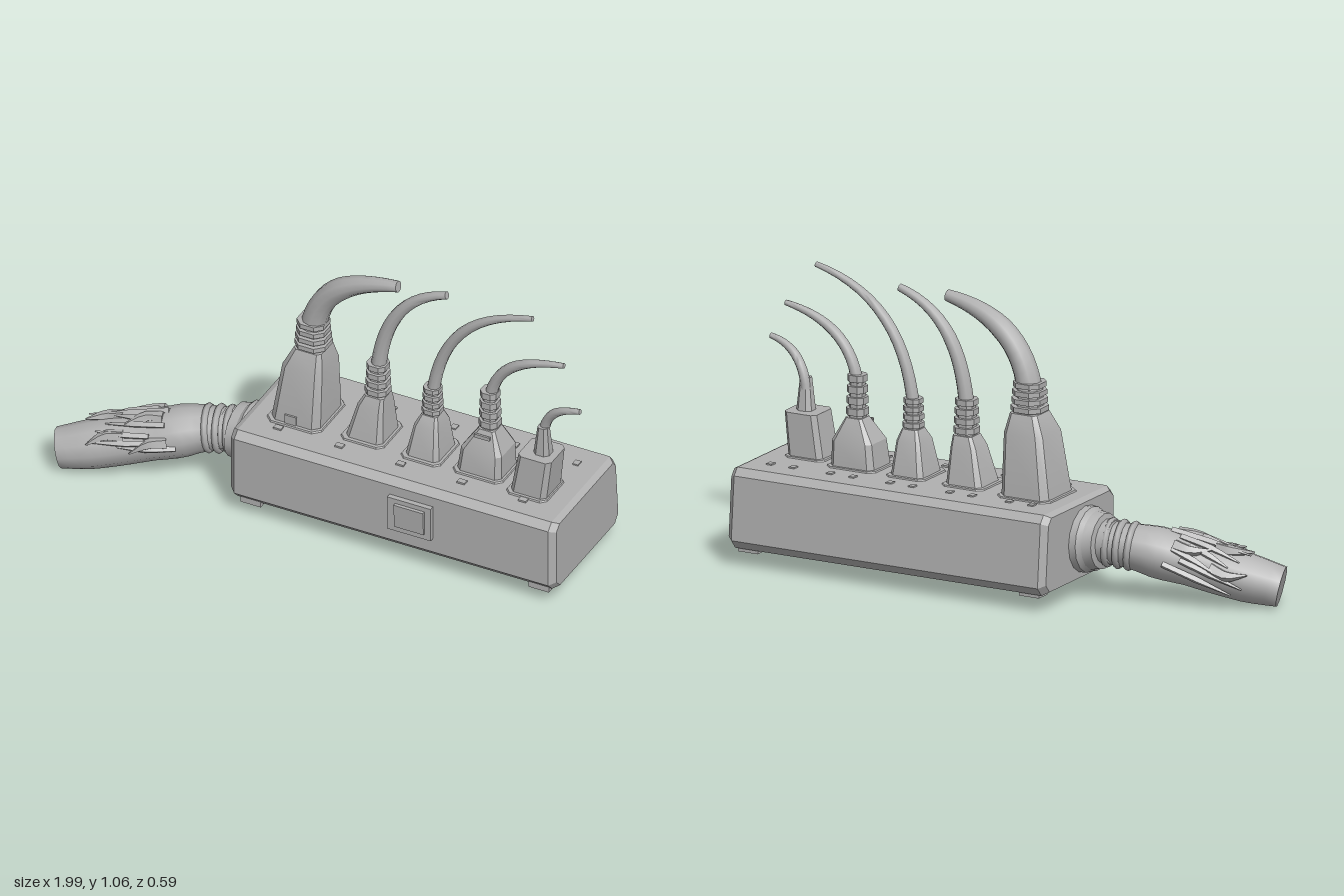
import * as THREE from 'three';
import { toCreasedNormals } from 'three/addons/utils/BufferGeometryUtils.js';

const V = (x, y, z) => new THREE.Vector3(x, y, z);
const { lerp } = THREE.MathUtils;

export function createModel() {
  const model = new THREE.Group();
  const grey = new THREE.MeshStandardMaterial({ color: 0xb0b0b0 });
  grey.name = 'plain grey';

  function add(name, geometry, parent = model) {
    const mesh = new THREE.Mesh(geometry, grey);
    mesh.name = name;
    parent.add(mesh);
    return mesh;
  }
  function box(name, w, h, d, x, y, z, parent) {
    const mesh = add(name, new THREE.BoxGeometry(w, h, d), parent);
    mesh.position.set(x, y, z);
    return mesh;
  }

  // Closed solid through a list of equal-length rings of points
  function loft(rings, crease = 0.5) {
    const n = rings[0].length, pts = rings.flat(), index = [];
    for (let r = 0; r < rings.length - 1; r++)
      for (let i = 0; i < n; i++) {
        const a = r * n + i, b = r * n + (i + 1) % n;
        index.push(a, b, b + n, a, b + n, a + n);
      }
    const last = (rings.length - 1) * n;
    for (let i = 1; i < n - 1; i++) index.push(0, i + 1, i, last, last + i, last + i + 1);
    // Turn the faces outward whichever way the rings run
    let volume = 0;
    for (let i = 0; i < index.length; i += 3)
      volume += pts[index[i]].dot(pts[index[i + 1]].clone().cross(pts[index[i + 2]]));
    if (volume < 0) index.reverse();
    const geo = new THREE.BufferGeometry().setFromPoints(pts);
    geo.setIndex(index);
    return toCreasedNormals(geo, crease);
  }

  // Tube along a curve; its radius follows a list spread evenly along it
  function taperedTube(curve, radii, steps = 14, sides = 10) {
    const frames = curve.computeFrenetFrames(steps, false);
    const rings = [];
    for (let s = 0; s <= steps; s++) {
      const t = s / steps, f = t * (radii.length - 1), k = Math.min(Math.floor(f), radii.length - 2);
      const r = lerp(radii[k], radii[k + 1], f - k), c = curve.getPointAt(t);
      rings.push(Array.from({ length: sides }, (_, i) => {
        const a = i / sides * Math.PI * 2;
        return c.clone().addScaledVector(frames.normals[s], Math.cos(a) * r)
          .addScaledVector(frames.binormals[s], Math.sin(a) * r);
      }));
    }
    return loft(rings, 0.8);
  }

  // Horizontal rectangle with cut corners, w and d being half sizes
  function section(x, y, z, w, d, cut = 0.25) {
    const c = Math.min(w, d) * cut, ring = [];
    for (const [sx, sz] of [[1, 1], [-1, 1], [-1, -1], [1, -1]]) {
      const pair = [V(x + sx * w, y, z + sz * (d - c)), V(x + sx * (w - c), y, z + sz * d)];
      ring.push(...(sx === sz ? pair : pair.reverse()));
    }
    return ring;
  }

  // Housing: chamfered side profile, drawn in at both ends
  const profile = [[0.217, 0.1], [0.185, 0.068], [-0.27, 0.068], [-0.298, 0.1],
    [-0.278, 0.33], [-0.255, 0.357], [0.19, 0.355], [0.217, 0.33]];
  const housingRing = (x, k) => profile.map(([z, y]) => V(x, lerp(0.213, y, k), lerp(-0.04, z, k)));
  add('housing', loft([housingRing(-0.305, 0.92), housingRing(-0.283, 1),
    housingRing(0.948, 1), housingRing(0.97, 0.92)], 0.2));
  for (const x of [-0.23, 0.9]) for (const z of [-0.235, 0.165])
    box('foot', 0.08, 0.03, 0.06, x, 0.07, z);

  // Rocker switch on the front
  const rocker = new THREE.Group();
  rocker.name = 'powerSwitch';
  model.add(rocker);
  box('switchBezel', 0.17, 0.135, 0.03, 0.412, 0.225, 0.221, rocker);
  const key = box('switchRocker', 0.115, 0.095, 0.016, 0.415, 0.227, 0.237, rocker);
  key.rotation.x = 0.06;

  // One plug: tapering body, strain relief and a cable bending over to its tip
  function addPlug(name, { x, z, w, d, shoulder, taper, neck, neckX, neckR, neckTop, tip, thick, thin, ribbed = true }) {
    const plug = new THREE.Group();
    plug.name = name;
    model.add(plug);
    const base = 0.34, shoulderX = lerp(x, neckX, (shoulder - base) / (neck - base) * 0.8);
    const body = [section(x, base, z, w, d), section(shoulderX, shoulder, z, w * taper, d * taper)];
    if (ribbed) body.push(section(neckX, neck, z, neckR * 0.9, neckR * 0.95));
    add('plugBody', loft(body, 0.4), plug);
    add('socketRim', loft([section(x, 0.35, z, w + 0.013, d + 0.015),
      section(x, 0.361, z, w + 0.008, d + 0.01)], 0.3), plug);
    const relief = [], h = (neckTop - neck) / 4;
    if (ribbed) {
      for (let k = 0; k < 4; k++)
        for (const [f, s] of [[0, 0.78], [0.3, 0.78], [0.36, 1], [0.98, 1]]) {
          const r = neckR * (1 - k * 0.04) * s;
          relief.push(section(neckX, neck - 0.005 + (k + f) * h, z, r, r, 0.5));
        }
    } else {
      relief.push(section(neckX, neck - 0.02, z, neckR, neckR, 0.5),
        section(neckX + 0.006, neckTop, z + 0.01, thick, thick, 0.5));
    }
    add('strainRelief', loft(relief, 0.4), plug);
    const start = V(neckX, neckTop - 0.04, z), end = V(...tip);
    const dx = end.x - start.x, dy = end.y - start.y;
    const bend = new THREE.CubicBezierCurve3(start, V(start.x + dx * 0.08, start.y + dy * 0.65, z),
      V(end.x - dx * 0.5, end.y - dy * 0.1, end.z), end);
    add('cable', taperedTube(bend, [thick, lerp(thick, thin, 0.25), thin]), plug);
    return plug;
  }

  const first = addPlug('firstPlug', { x: -0.122, z: -0.02, w: 0.097, d: 0.105, shoulder: 0.58, taper: 0.8,
    neck: 0.65, neckX: -0.093, neckR: 0.06, neckTop: 0.765, tip: [0.25, 1.017, 0], thick: 0.047, thin: 0.021 });
  addPlug('secondPlug', { x: 0.138, z: -0.015, w: 0.075, d: 0.08, shoulder: 0.49, taper: 0.67,
    neck: 0.53, neckX: 0.163, neckR: 0.042, neckTop: 0.665, tip: [0.43, 1.025, -0.02], thick: 0.028, thin: 0.014 });
  addPlug('thirdPlug', { x: 0.37, z: -0.01, w: 0.068, d: 0.08, shoulder: 0.48, taper: 0.69,
    neck: 0.52, neckX: 0.38, neckR: 0.035, neckTop: 0.635, tip: [0.78, 1.053, 0.005], thick: 0.023, thin: 0.01 });
  const fourth = addPlug('fourthPlug', { x: 0.59, z: -0.012, w: 0.088, d: 0.077, shoulder: 0.45, taper: 0.9,
    neck: 0.53, neckX: 0.604, neckR: 0.036, neckTop: 0.69, tip: [0.905, 0.895, 0.01], thick: 0.022, thin: 0.01 });
  addPlug('fifthPlug', { x: 0.798, z: 0.022, w: 0.07, d: 0.072, shoulder: 0.515, taper: 0.92, ribbed: false,
    neck: 0.52, neckX: 0.83, neckR: 0.032, neckTop: 0.63, tip: [0.99, 0.753, 0.053], thick: 0.019, thin: 0.01 });
  box('plugNotch', 0.045, 0.035, 0.008, -0.13, 0.378, 0.083, first);
  box('plugGrip', 0.06, 0.014, 0.008, 0.598, 0.51, 0.038, fourth);

  // Small socket slots showing behind and in front of the plugs
  for (let i = 0; i < 5; i++) {
    const x = -0.14 + i * 0.24;
    for (const side of [-0.045, 0.045]) box('socketSlot', 0.022, 0.007, 0.026, x + side, 0.358, -0.165);
    box('socketSlot', 0.03, 0.007, 0.022, x - 0.02, 0.358, 0.118);
  }

  // Stepped collar where the torn main cable leaves the housing
  const collar = [[0.29, 0.12], [0.33, 0.118], [0.345, 0.105], [0.38, 0.1], [0.385, 0.08], [0.42, 0.08]];
  add('cableCollar', loft(collar.map(([x, r], j) => Array.from({ length: 16 }, (_, i) => {
    const a = i / 8 * Math.PI;
    return V(-x, 0.212 + Math.cos(a) * r, Math.sin(a) * r + j * 0.002);
  }))));
  const path = new THREE.CatmullRomCurve3([V(-0.36, 0.212, 0.005), V(-0.5, 0.198, 0.04),
    V(-0.62, 0.167, 0.09), V(-0.75, 0.132, 0.14), V(-0.87, 0.1, 0.185), V(-0.968, 0.077, 0.22)]);
  add('mainCable', taperedTube(path, [0.076, 0.08, 0.095, 0.088, 0.09, 0.088, 0.074], 16, 12));
  for (const t of [0.06, 0.12, 0.18]) {
    const ring = add('collarRib', new THREE.TorusGeometry(0.077, 0.013, 6, 18));
    ring.position.copy(path.getPointAt(t));
    ring.lookAt(ring.position.clone().add(path.getTangentAt(t)));
  }

  // Point at distance r from the cable's centre, at path position t and angle a
  function skin(t, a, r) {
    const dir = path.getTangentAt(t), side = dir.clone().cross(V(0, 1, 0)).normalize();
    const up = side.clone().cross(dir);
    return path.getPointAt(t).addScaledVector(up, Math.cos(a) * r).addScaledVector(side, Math.sin(a) * r);
  }
  const skinCurve = (...points) => new THREE.CatmullRomCurve3(points.map(p => skin(...p)));
  // Bare strands and torn sheath splinters wound over the upper half
  for (let i = 0; i < 11; i++) {
    const a = -1.7 + i * 0.34, t0 = 0.36 + (i * 7 % 5) * 0.03, t1 = 0.66 + (i * 3 % 4) * 0.05;
    add('frayedStrand', taperedTube(skinCurve([t0, a, 0.092], [(t0 + t1) / 2, a + 0.2, 0.096],
      [t1, a + 0.45, 0.092 + (i % 3) * 0.007]), [0.012, 0.013, 0.003], 6, 4));
  }
  for (let i = 0; i < 6; i++) {
    const a = -1.4 + i * 0.55, t = 0.4 + (i % 2) * 0.22;
    add('tornSheath', taperedTube(skinCurve([t, a, 0.082], [t + 0.09, a + 0.1, 0.094],
      [t + 0.2, a - 0.15, 0.1]), [0.026, 0.02, 0.003], 5, 5));
  }
  return model;
}
